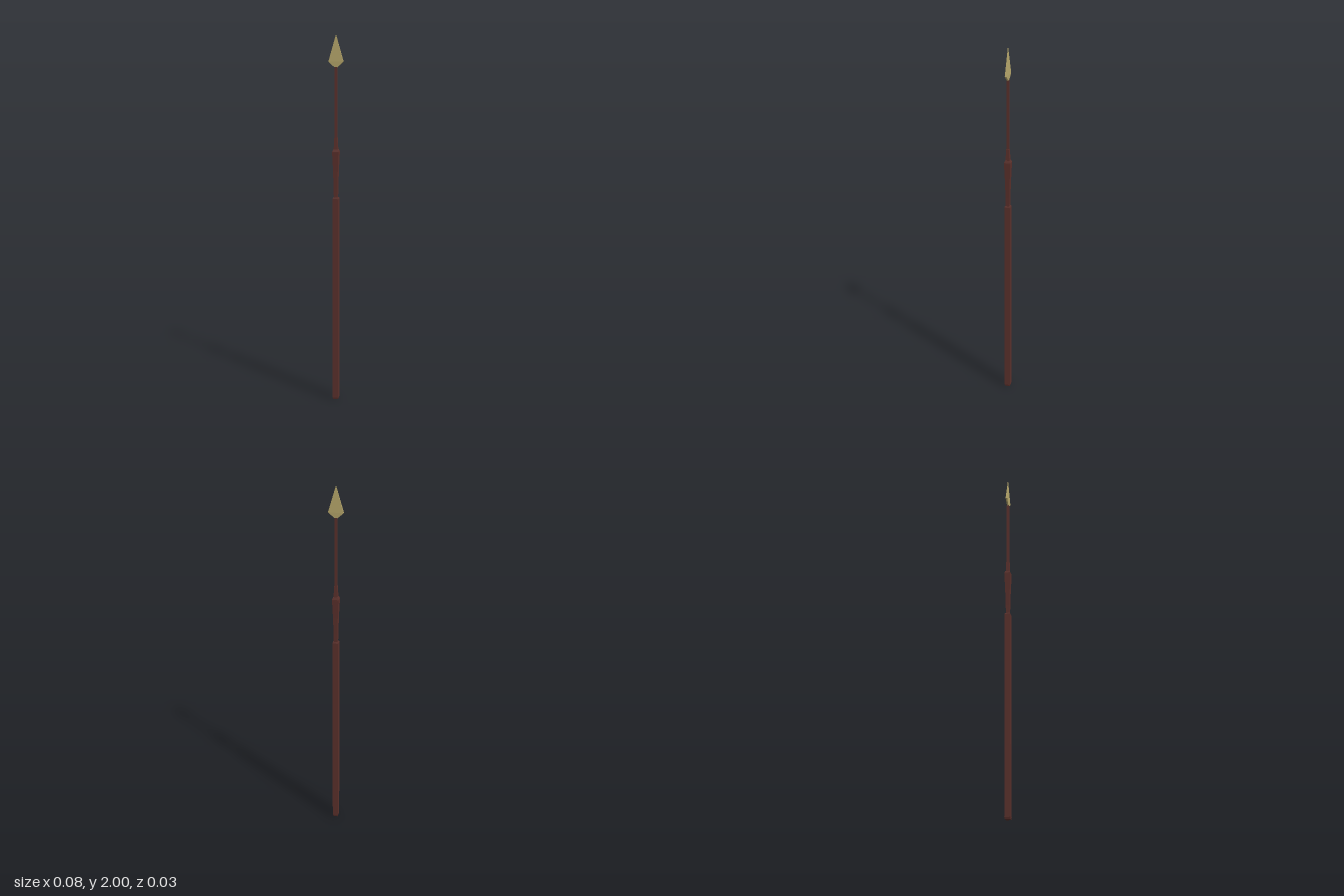
import * as THREE from 'three';

// Square bar turned from [halfWidth, y] pairs listed from bottom to top
function squareBar(name, profile, material) {
  const points = profile.map(([half, y]) => new THREE.Vector2(half * Math.SQRT2, y));
  const mesh = new THREE.Mesh(new THREE.LatheGeometry(points, 4, Math.PI / 4), material);
  mesh.name = name;
  return mesh;
}

// Flat blade: a box whose rows follow [halfWidth, halfDepth, y] sections
function blade(name, sections, material) {
  const rows = sections.length - 1;
  const geometry = new THREE.BoxGeometry(2, rows, 2, 1, rows, 1);
  const p = geometry.attributes.position;
  for (let i = 0; i < p.count; i++) {
    const [w, d, y] = sections[Math.round(p.getY(i) + rows / 2)];
    p.setXYZ(i, p.getX(i) * w, y, p.getZ(i) * d);
  }
  geometry.computeVertexNormals();
  const mesh = new THREE.Mesh(geometry, material);
  mesh.name = name;
  return mesh;
}

export function createModel() {
  const wood = new THREE.MeshStandardMaterial({ color: 0x5c312c, flatShading: true });
  wood.name = 'dark red wood';
  const brass = new THREE.MeshStandardMaterial({ color: 0xb8a86c, flatShading: true });
  brass.name = 'pale brass';

  const spear = new THREE.Group();
  spear.name = 'spear';
  spear.add(
    // Thick lower shaft with a small bevel at the foot
    squareBar('shaft', [[0, 0], [0.013, 0], [0.0155, 0.01], [0.0155, 1.135], [0.013, 1.142], [0, 1.142]], wood),
    // Flared grip with a bevelled top
    squareBar('grip', [[0, 1.13], [0.0095, 1.13], [0.0105, 1.19], [0.013, 1.285],
      [0.017, 1.383], [0.017, 1.39], [0.0125, 1.402], [0, 1.402]], wood),
    // Collar holding the thin rod
    squareBar('collar', [[0, 1.39], [0.0105, 1.39], [0.0085, 1.463], [0, 1.463]], wood),
    squareBar('rod', [[0, 1.455], [0.0065, 1.455], [0.0065, 1.835], [0, 1.835]], wood),
    // Leaf-shaped head
    blade('spearhead', [[0.007, 0.004, 1.832], [0.04, 0.005, 1.862], [0.0005, 0.001, 2]], brass),
  );
  return spear;
}
